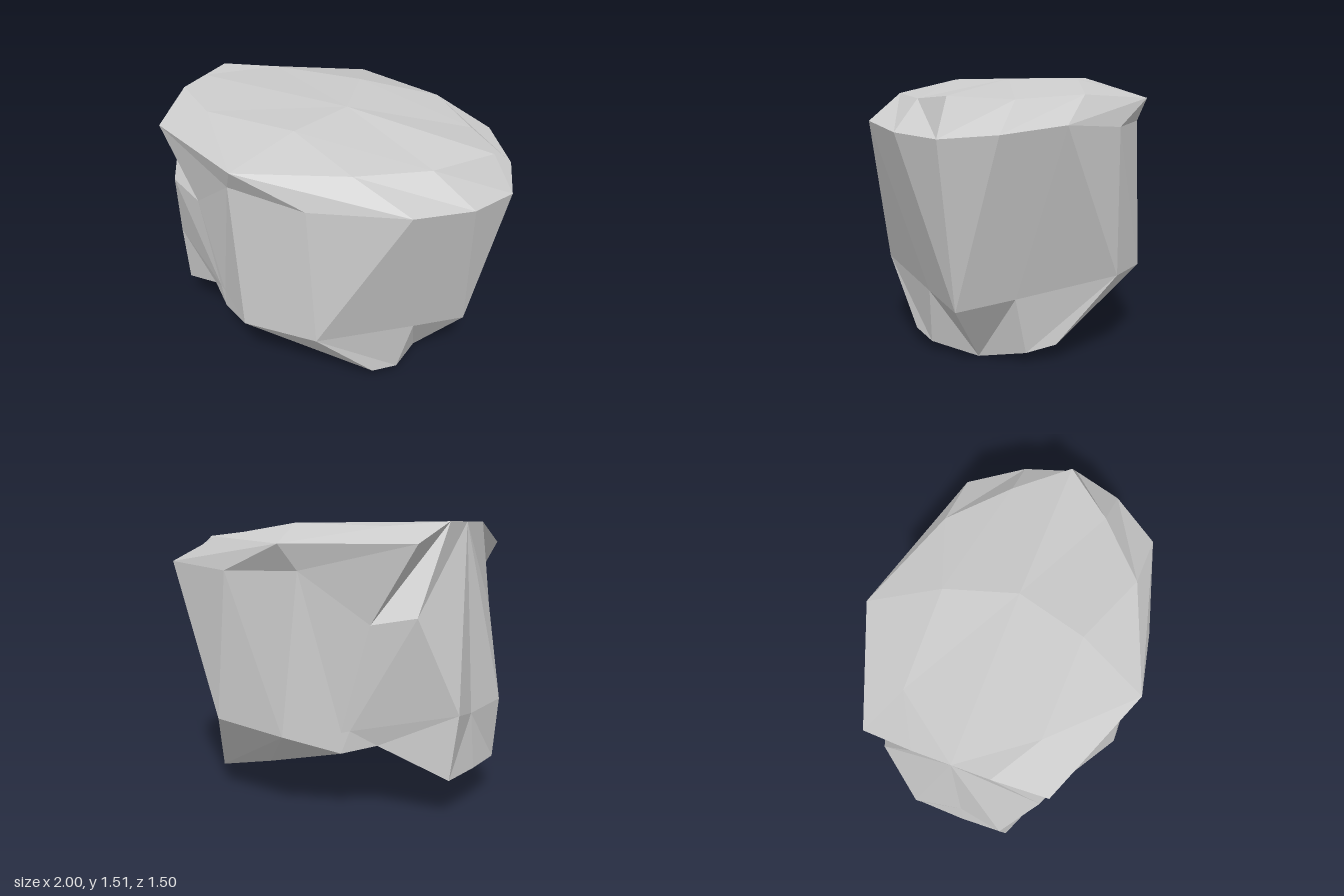
import * as THREE from 'three';

// Half-rings from the front (+x) round the side (+z) to the back (-x), nine points each.
const peak = [0.04, 1.51, 0], shoulder = [-0.07, 1.505, 0.38], rear = [-0.63, 1.485, 0.36];
const backTop = [-0.9, 1.51, 0];
const crownCentre = Array(9).fill(peak);
const crown = [peak, peak, shoulder, shoulder, shoulder, rear, rear, rear, backTop];

const widest = [-0.23, 1.4, 0.75];
const upperRim = [
  [0.88, 1.43, 0], [0.66, 1.41, 0.27], [0.35, 1.43, 0.54], widest, widest,
  widest, [-0.87, 1.4, 0.485], [-0.9, 1.51, 0.2], backTop,
];

const underRim = [0.17, 1.255, 0.69];
const lowerRim = [
  [1, 1.23, 0], [0.9, 1.25, 0.28], [0.68, 1.29, 0.55], underRim, underRim,
  [-0.3, 1.265, 0.68], [-0.63, 1, 0.52], [-0.85, 1.04, 0.44], backTop,
];

const hip = [-0.23, 0.415, 0.72];
const girdle = [
  [0.81, 0.33, 0], [0.6, 0.37, 0.25], [0.22, 0.45, 0.7], hip, hip,
  [-0.48, 0.44, 0.55], [-0.52, 0.45, 0.53], [-1, 0.54, 0.26], [-0.95, 0.5, 0],
];

const notch = [-0.48, 0.33, 0.55];
const base = [
  [0.51, 0, 0], [0.52, 0.055, 0.28], [0.43, 0.09, 0.42], [0, 0.205, 0.52], notch,
  notch, [-0.63, 0.37, 0.44], [-0.96, 0.2, 0.28], [-0.97, 0.2, 0],
];

const toe = [0.51, 0, 0], belly = [-0.33, 0.275, 0], heel = [-0.57, 0.33, 0];
const keel = [toe, toe, toe, belly, heel, heel, heel, heel, heel];

// Joins successive half-rings with flat facets and mirrors them across z = 0.
function facetedShell(rings) {
  const positions = [];
  const addTriangle = (a, b, c) => {
    const [A, B, C] = [a, b, c].map((p) => new THREE.Vector3(...p));
    if (new THREE.Triangle(A, B, C).getArea() < 1e-6) return;
    positions.push(...a, ...b, ...c);
    for (const [x, y, z] of [a, c, b]) positions.push(x, y, -z);
  };
  for (let r = 0; r < rings.length - 1; r++) {
    const upper = rings[r], lower = rings[r + 1];
    for (let i = 0; i < upper.length - 1; i++) {
      addTriangle(upper[i], upper[i + 1], lower[i]);
      addTriangle(upper[i + 1], lower[i + 1], lower[i]);
    }
  }
  const geometry = new THREE.BufferGeometry();
  geometry.setAttribute('position', new THREE.Float32BufferAttribute(positions, 3));
  geometry.computeVertexNormals();
  return geometry;
}

export function createModel() {
  const model = new THREE.Group();
  model.name = 'facetedBoulder';
  const material = new THREE.MeshStandardMaterial({
    color: 0xcccccc, flatShading: true, side: THREE.DoubleSide,
  });
  const parts = {
    top: [crownCentre, crown, upperRim],
    rim: [upperRim, lowerRim],
    sides: [lowerRim, girdle, base],
    underside: [base, keel],
  };
  for (const [name, rings] of Object.entries(parts)) {
    const mesh = new THREE.Mesh(facetedShell(rings), material);
    mesh.name = name;
    model.add(mesh);
  }
  return model;
}
